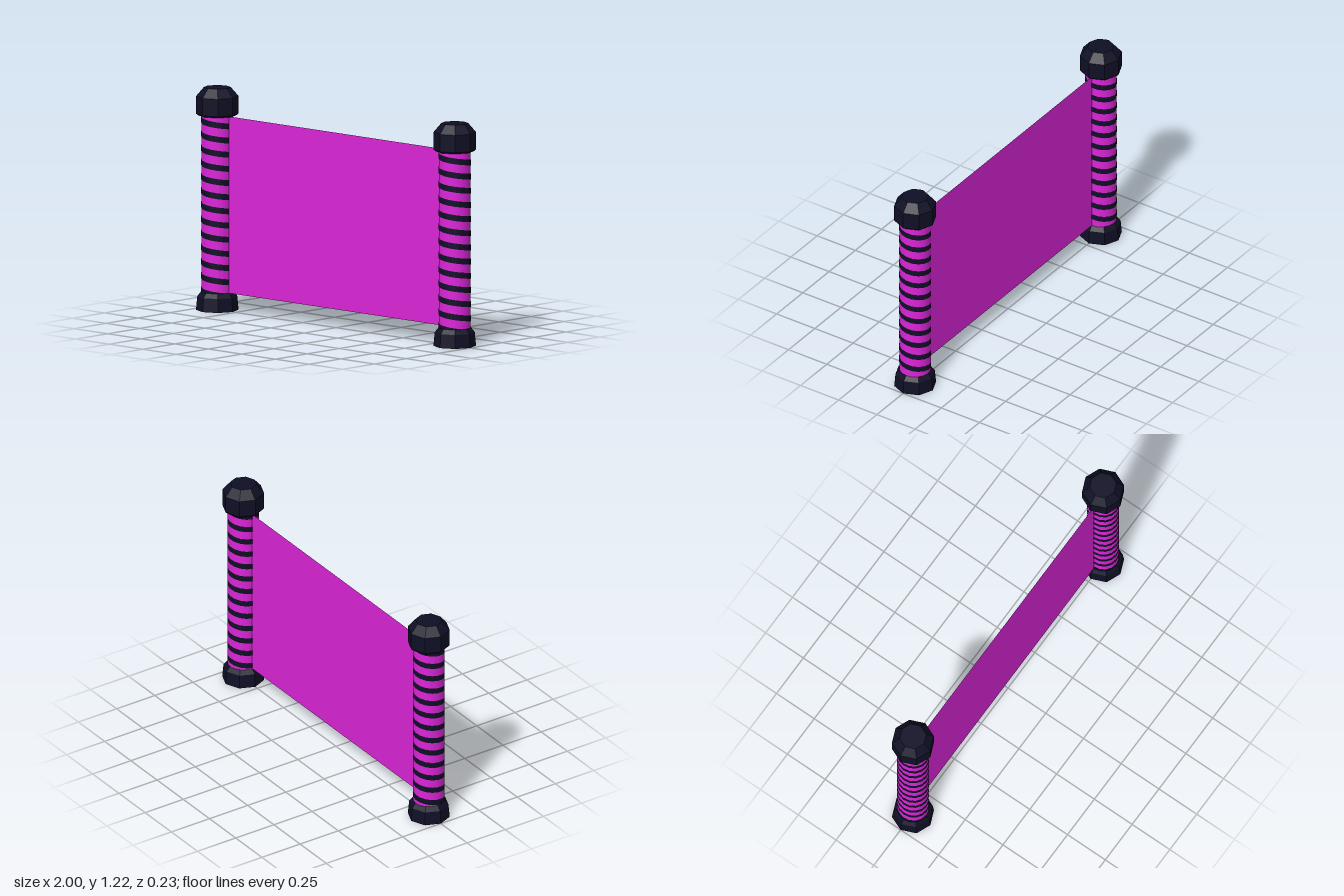
import * as THREE from 'three';

const POST_X = 0.885, POST_R = 0.086, Y0 = 0.1, Y1 = 1.066;
const SIDES = 16, PITCH = 0.0775, BAND = 0.032;

const magenta = new THREE.MeshStandardMaterial({ color: 0xdd25da });
magenta.name = 'magenta';
magenta.side = THREE.DoubleSide;
const navy = new THREE.MeshStandardMaterial({ color: 0x0f0f26, flatShading: true });
navy.name = 'dark navy';
const stripeNavy = navy.clone();
stripeNavy.flatShading = false;
stripeNavy.side = THREE.DoubleSide;

function add(parent, geometry, material, name) {
  const mesh = new THREE.Mesh(geometry, material);
  mesh.name = name;
  parent.add(mesh);
  return mesh;
}

// Eight-sided turned block from (radius, height) pairs, bottom to top
function octagonBlock(profile) {
  return new THREE.LatheGeometry(profile.map(([r, y]) => new THREE.Vector2(r, y)), 8);
}

// Thin ribbon that winds down the post, trimmed at both ends
function spiralStripe() {
  const pos = [], normal = [], index = [];
  const r = POST_R + 0.0015;
  const turns = Math.ceil((Y1 - Y0) / PITCH) + 2;
  const clampY = (y) => Math.min(Y1, Math.max(Y0, y));
  for (let i = 0; i <= turns * SIDES; i++) {
    const a = (i / SIDES) * Math.PI * 2;
    const y = 1.031 + PITCH * (1 - i / SIDES);
    const s = Math.sin(a), c = Math.cos(a);
    for (const half of [BAND / 2, -BAND / 2]) {
      pos.push(r * s, clampY(y + half), r * c);
      normal.push(s, 0, c);
    }
    if (i > 0) {
      const k = i * 2;
      index.push(k - 2, k - 1, k, k - 1, k + 1, k);
    }
  }
  const g = new THREE.BufferGeometry();
  g.setAttribute('position', new THREE.Float32BufferAttribute(pos, 3));
  g.setAttribute('normal', new THREE.Float32BufferAttribute(normal, 3));
  g.setIndex(index);
  return g;
}

export function createModel() {
  const model = new THREE.Group();
  model.name = 'bannerBarrier';

  // Posts with spiral stripe, foot and cap
  for (const side of [1, -1]) {
    const post = new THREE.Group();
    post.name = side > 0 ? 'leftPost' : 'rightPost';
    post.position.x = side * POST_X;
    const shaft = add(post, new THREE.CylinderGeometry(POST_R, POST_R, Y1 - Y0, SIDES, 1, true), magenta, 'shaft');
    shaft.position.y = (Y0 + Y1) / 2;
    add(post, spiralStripe(), stripeNavy, 'spiralStripe');
    add(post, octagonBlock([[0, 0], [0.115, 0], [0.108, 0.075], [0.088, 0.1], [0, 0.1]]), navy, 'foot');
    add(post, octagonBlock([[0, 1.064], [0.105, 1.064], [0.115, 1.073], [0.115, 1.168], [0.073, 1.217], [0, 1.217]]), navy, 'cap');
    model.add(post);
  }

  // Flat panel stretched between the posts
  const panel = add(model, new THREE.PlaneGeometry(2 * (POST_X - POST_R + 0.01), Y1 - Y0), magenta, 'panel');
  panel.position.y = (Y0 + Y1) / 2;

  return model;
}
